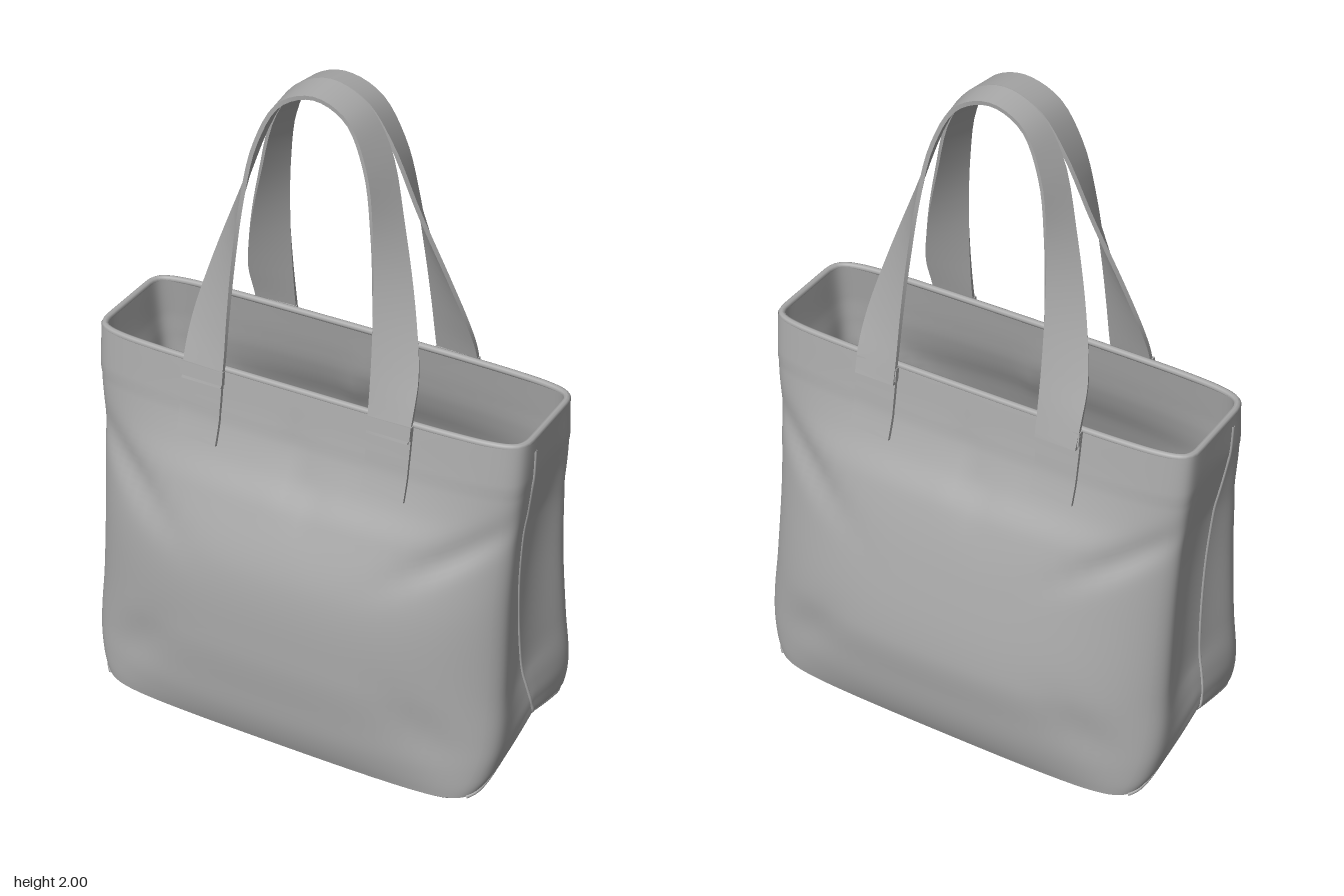
import * as THREE from 'three';

const canvas = new THREE.MeshStandardMaterial({ color: 0xa8a8a8, side: THREE.DoubleSide });
canvas.name = 'greyCanvas';
const V = (x, y, z) => new THREE.Vector3(x, y, z);

// Height, half width, corner depth front/back, panel bulge front/back, end-panel pinch
const PROFILE = [
  [0.000, 0.606, 0.322, 0.315, 0.012, 0.010, 0.05],
  [0.012, 0.618, 0.330, 0.322, 0.020, 0.020, -0.02],
  [0.10, 0.656, 0.302, 0.296, 0.076, 0.078, 0.00],
  [0.20, 0.677, 0.270, 0.265, 0.120, 0.125, 0.03],
  [0.35, 0.680, 0.240, 0.230, 0.160, 0.170, 0.055],
  [0.60, 0.676, 0.218, 0.195, 0.167, 0.157, 0.06],
  [0.80, 0.676, 0.206, 0.180, 0.112, 0.112, 0.05],
  [0.90, 0.674, 0.206, 0.180, 0.062, 0.060, 0.03],
  [1.00, 0.671, 0.206, 0.177, 0.026, 0.026, 0.01],
  [1.14, 0.668, 0.193, 0.163, 0.012, 0.012, 0.00],
];

// Soft dents in the cloth: x, y, long radius, short radius, angle, depth
const DENTS = [
  [-0.50, 0.76, 0.18, 0.045, -0.6, 0.020], [0.52, 0.80, 0.16, 0.04, 0.6, 0.016],
  [0.04, 0.90, 0.13, 0.03, -1.2, 0.010], [-0.44, 0.24, 0.14, 0.06, 0.9, 0.010],
  [0.46, 0.24, 0.14, 0.06, -0.9, 0.010],
];

const tangent = (k, c) => {
  const a = PROFILE[Math.max(k - 1, 0)], b = PROFILE[Math.min(k + 1, PROFILE.length - 1)];
  return (b[c] - a[c]) / (b[0] - a[0]);
};

// Smooth value of one profile column at height y
function profile(y, c) {
  let k = 0;
  while (k < PROFILE.length - 2 && y > PROFILE[k + 1][0]) k++;
  const a = PROFILE[k], b = PROFILE[k + 1], h = b[0] - a[0], t = (y - a[0]) / h;
  const t2 = t * t, t3 = t2 * t;
  return (2 * t3 - 3 * t2 + 1) * a[c] + (t3 - 2 * t2 + t) * h * tangent(k, c)
    + (3 * t2 - 2 * t3) * b[c] + (t3 - t2) * h * tangent(k + 1, c);
}

// Point on the bag wall: (sx, sz) lies on the edge of a unit square
function wall(sx, sz, y, inset = 0) {
  const n = 10, r = Math.pow(Math.abs(sx) ** n + Math.abs(sz) ** n, -1 / n);
  sx *= r;
  sz *= r;
  const side = sz > 0 ? 0 : 1;
  const hem = y > 1.0 ? 0.002 : 0;
  const w = profile(y, 1) + hem - inset;
  const x = sx * (w - profile(y, 6) * (1 - sz * sz));
  let depth = profile(y, 2 + side) + profile(y, 4 + side) * (1 - Math.abs(sx) ** 3) + hem - inset;
  for (const [dx, dy, long, short, angle, d] of DENTS) {
    const px = (side ? -x : x) - dx, py = y - dy, c = Math.cos(angle), s = Math.sin(angle);
    depth -= d * Math.exp(-(((px * c + py * s) / long) ** 2) - ((py * c - px * s) / short) ** 2);
  }
  // Boxed corner: the fold rises to a point in the middle of each end
  const lift = y < 0.006 ? 0 : 0.12 * (1 - Math.abs(sz)) * Math.abs(sx) ** 10 * Math.max(0, 1 - y / 0.3);
  return V(x, y + lift, sz * depth);
}

// One closed horizontal ring of the wall
function ring(y, inset = 0, seg = 36) {
  const pts = [];
  for (let side = 0; side < 4; side++) {
    for (let i = 0; i < seg; i++) {
      const a = Math.sin((i / seg - 0.5) * Math.PI);
      const [sx, sz] = [[a, 1], [1, -a], [-a, -1], [-1, a]][side];
      pts.push(wall(sx, sz, y, inset));
    }
  }
  return pts;
}

// Skin over a stack of closed sections
function loft(rows) {
  const n = rows[0].length, index = [];
  for (let i = 0; i < rows.length - 1; i++) {
    for (let j = 0; j < n; j++) {
      const a = i * n + j, b = i * n + (j + 1) % n;
      index.push(a, b, b + n, a, b + n, a + n);
    }
  }
  const g = new THREE.BufferGeometry().setFromPoints(rows.flat());
  g.setIndex(index);
  g.computeVertexNormals();
  return g;
}

// Flat band of even thickness between two edge curves
function band(edgeA, edgeB, thick, seg) {
  const A = new THREE.CatmullRomCurve3(edgeA), B = new THREE.CatmullRomCurve3(edgeB);
  const rows = [];
  for (let i = 0; i <= seg; i++) {
    const t = i / seg, a = A.getPoint(t), b = B.getPoint(t);
    const along = A.getTangent(t).add(B.getTangent(t));
    const n = along.cross(b.clone().sub(a)).normalize().multiplyScalar(thick / 2);
    const q = [a.clone().add(n), b.clone().add(n), b.clone().sub(n), a.clone().sub(n)];
    rows.push(q.flatMap((p) => [p, p.clone()]));
  }
  const cap = (row) => {
    const c = row[0].clone().add(row[4]).multiplyScalar(0.5);
    return row.map(() => c.clone());
  };
  const first = rows[0], last = rows[seg];
  return loft([cap(first), first, ...rows, last, cap(last)]);
}

function add(parent, name, geometry) {
  const mesh = new THREE.Mesh(geometry, canvas);
  mesh.name = name;
  parent.add(mesh);
}

const tube = (pts, r, seg, closed = false) =>
  new THREE.TubeGeometry(new THREE.CatmullRomCurve3(pts, closed), seg, r, 8, closed);

const span = (n, f) => Array.from({ length: n + 1 }, (_, i) => f(i / n));

// Half of each handle edge, from the bag up to the crown
const INNER_EDGE = [[0.227, 1.09, 0.226], [0.225, 1.17, 0.210], [0.222, 1.30, 0.193], [0.214, 1.46, 0.174],
  [0.197, 1.65, 0.151], [0.165, 1.82, 0.130], [0.10, 1.943, 0.114], [0, 1.983, 0.108]];
const OUTER_EDGE = [[0.353, 1.09, 0.226], [0.355, 1.17, 0.200], [0.348, 1.27, 0.160], [0.310, 1.43, 0.112],
  [0.245, 1.64, 0.058], [0.175, 1.85, 0.018], [0.10, 1.955, 0.013], [0, 1.993, 0.012]];

function handleEdge(half, back) {
  const place = ([x, y, z], s) => {
    const shrink = 1 - 0.22 * Math.max(0, (y - 1.2) / 0.8);
    return V(s * x, y, back ? 0.011 - (z - 0.012) * shrink : z);
  };
  return [...half.map((p) => place(p, -1)), ...half.slice(0, -1).reverse().map((p) => place(p, 1))];
}

export function createModel() {
  const bag = new THREE.Group();
  bag.name = 'toteBag';

  // Outer wall, lining and bottom
  add(bag, 'outerWall', loft(span(60, (t) => ring(0.012 + 1.128 * t))));
  add(bag, 'lining', loft(span(40, (t) => ring(1.14 - 1.11 * t, 0.016))));
  const fill = (y, inset) => {
    const edge = ring(y, inset);
    return span(8, (t) => edge.map((p) => V(p.x * (1 - t), y + (p.y - y) * (1 - t) ** 6, p.z * (1 - t))));
  };
  add(bag, 'bottomFold', loft([ring(0), ring(0.012)]));
  add(bag, 'bottom', loft(fill(0, 0)));
  add(bag, 'innerBottom', loft(fill(0.03, 0.016)));

  // Rolled rim around the opening
  add(bag, 'rim', tube(ring(1.138, 0.008, 12), 0.010, 200, true));

  // End seams and the folded corner edges
  for (const s of [1, -1]) {
    const seam = span(24, (t) => wall(s, 0.5 * (1 - t) ** 0.8, 1.1 - 1.088 * t));
    add(bag, 'endSeam', tube(seam, 0.005, 60));
    add(bag, 'cornerFold', tube(span(24, (t) => wall(s, 1.9 * t - 0.95, 0.012)), 0.006, 48));
  }

  // Handles with their stitched patches
  for (const back of [false, true]) {
    const side = back ? 'back' : 'front', sz = back ? -1 : 1;
    add(bag, side + 'Handle', band(handleEdge(INNER_EDGE, back), handleEdge(OUTER_EDGE, back), 0.012, 64));
    for (const s of [1, -1]) {
      const edge = (x, y0, y1, lift) => span(6, (t) => {
        const y = y0 + (y1 - y0) * t;
        return V(s * x, y, wall(s * x / 0.665, sz, y).z + sz * lift);
      });
      add(bag, side + 'Patch', band(edge(0.228, 0.92, 1.14, 0.005), edge(0.358, 0.92, 1.14, 0.005), 0.012, 16));
      add(bag, side + 'Loop', band(edge(0.223, 1.10, 1.14, 0.012), edge(0.358, 1.10, 1.14, 0.012), 0.014, 6));
    }
  }
  return bag;
}
